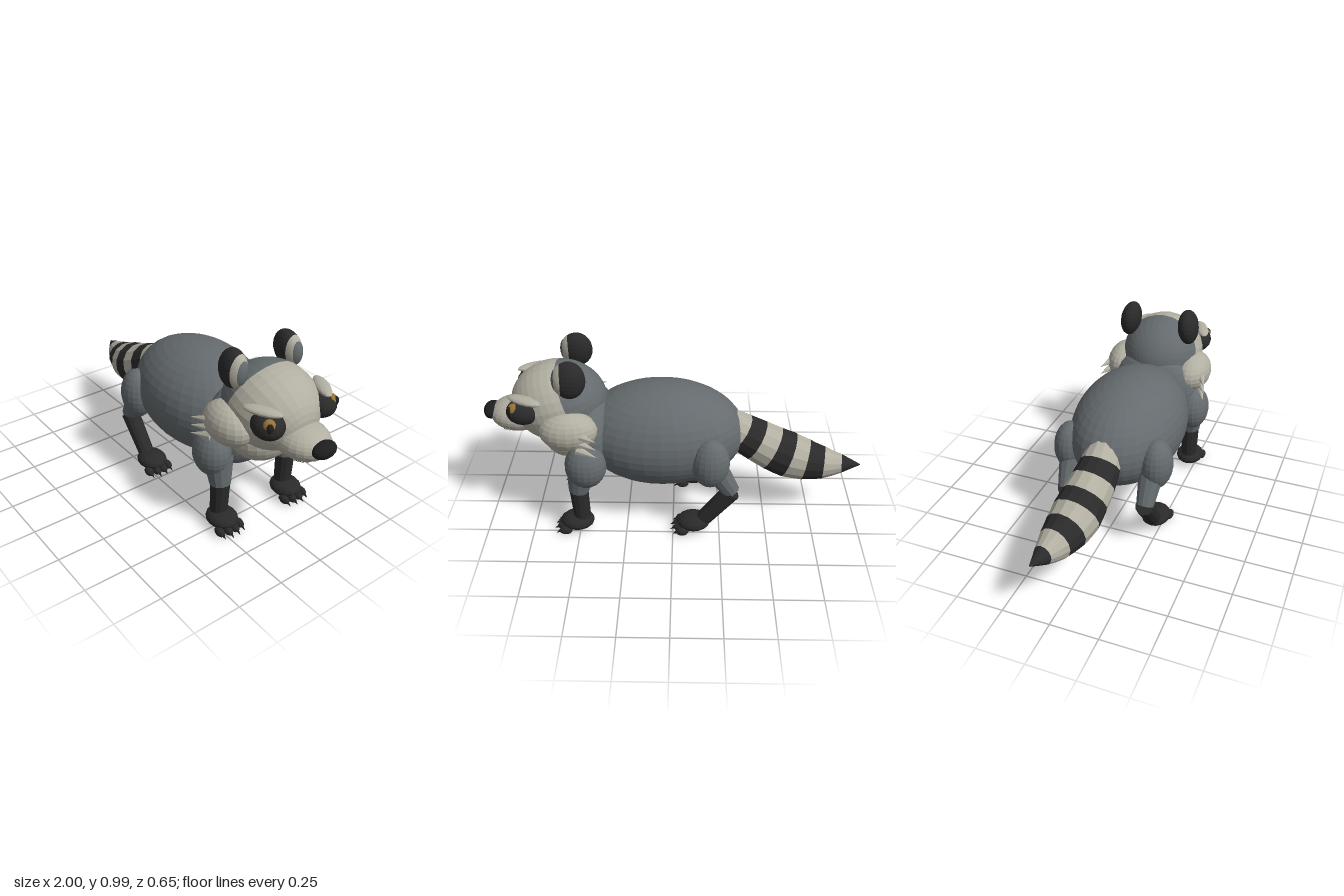
import * as THREE from 'three';

const mat = (name, color) => {
  const m = new THREE.MeshStandardMaterial({ color, flatShading: true });
  m.name = name;
  return m;
};
const V = (x, y, z) => new THREE.Vector3(x, y, z);

export function createModel() {
  const grey = mat('grey fur', 0x656b6e);
  const cream = mat('cream fur', 0xb2afa2);
  const dark = mat('dark fur', 0x2a2a2a);
  const black = mat('nose black', 0x1e1e1e);
  const amber = mat('amber eye', 0x94733a);
  const root = new THREE.Group();
  root.name = 'raccoon';

  const add = (parent, name, geometry, material) => {
    const mesh = new THREE.Mesh(geometry, material);
    mesh.name = name;
    parent.add(mesh);
    return mesh;
  };

  // Ellipsoid from centre and radii
  const blob = (parent, name, material, c, r, seg = 20) => {
    const g = new THREE.SphereGeometry(1, seg, Math.round(seg * 0.65)).scale(...r);
    const mesh = add(parent, name, g, material);
    mesh.position.set(...c);
    return mesh;
  };

  // Tapered cylinder (or cone) between two points
  const limb = (parent, name, material, a, b, ra, rb, seg = 12) => {
    const from = V(...a), to = V(...b), axis = to.clone().sub(from);
    const mesh = add(parent, name, new THREE.CylinderGeometry(rb, ra, axis.length(), seg), material);
    mesh.position.copy(from).add(to).multiplyScalar(0.5);
    mesh.quaternion.setFromUnitVectors(V(0, 1, 0), axis.normalize());
    return mesh;
  };

  // Thin painted oval lying on an ellipsoid, centred on direction dir
  const patch = (parent, name, material, c, r, dir, sx, sy, lift) => {
    const g = new THREE.RingGeometry(0, 1, 32, 8);
    const d = V(...dir).normalize();
    const right = V(0, 1, 0).cross(d).normalize();
    const up = d.clone().cross(right);
    const p = g.attributes.position;
    for (let i = 0; i < p.count; i++) {
      const v = d.clone().addScaledVector(right, p.getX(i) * sx).addScaledVector(up, p.getY(i) * sy);
      v.normalize().multiplyScalar(lift).multiply(V(...r));
      p.setXYZ(i, v.x, v.y, v.z);
    }
    g.computeVertexNormals();
    add(parent, name, g, material).position.set(...c);
  };

  // Trunk
  blob(root, 'body', grey, [0.06, 0.5, 0], [0.44, 0.282, 0.297], 32);
  blob(root, 'chest', grey, [0.425, 0.515, 0], [0.13, 0.24, 0.25], 28);
  blob(root, 'bib', cream, [0.555, 0.53, 0], [0.15, 0.16, 0.185], 24);

  // Head: cream face and grey crown share one ellipsoid, split by a tilted plane
  const split = 1.876;
  const headPart = (name, material, start, length) => {
    const g = new THREE.SphereGeometry(1, 28, 12, 0, Math.PI * 2, start, length);
    g.rotateZ(-1.9).scale(0.25, 0.213, 0.225);
    add(root, name, g, material).position.set(0.595, 0.687, 0);
  };
  headPart('face', cream, 0, split);
  headPart('crown', grey, split, Math.PI - split);

  // Muzzle
  const muzzleC = [0.815, 0.608, 0], muzzleR = [0.15, 0.088, 0.125];
  blob(root, 'muzzle', cream, muzzleC, muzzleR, 24);
  patch(root, 'mouth', dark, muzzleC, muzzleR, [0.5, -0.8, 0], 1.25, 0.36, 1.025);
  blob(root, 'nose', black, [0.955, 0.622, 0], [0.045, 0.042, 0.067], 18);

  for (const s of [1, -1]) {
    const side = s > 0 ? 'right' : 'left';
    const group = new THREE.Group();
    group.name = side === 'right' ? 'nearSide' : 'farSide';
    root.add(group);

    // Eye mask, eye, pupil and brow
    blob(group, 'eyeMask', dark, [0.755, 0.71, s * 0.16], [0.087, 0.067, 0.075]);
    blob(group, 'eye', amber, [0.793, 0.735, s * 0.186], [0.035, 0.033, 0.034], 16);
    blob(group, 'pupil', black, [0.813, 0.735, s * 0.2], [0.018, 0.024, 0.018], 12);
    const brow = blob(group, 'brow', cream, [0.742, 0.785, s * 0.182], [0.098, 0.02, 0.036], 16);
    brow.rotation.y = s * 0.46;

    // Cheek with swept-back fur tufts
    blob(group, 'cheek', cream, [0.53, 0.622, s * 0.2], [0.15, 0.107, 0.102]);
    for (const y of [0.625, 0.58, 0.535]) {
      limb(group, 'cheekTuft', cream, [0.48, y + 0.01, s * 0.262], [0.38, y - 0.005, s * 0.308], 0.026, 0.001, 8);
    }

    // Ear with cream front and grey hollow
    const ear = new THREE.Group();
    ear.name = 'ear';
    ear.position.set(0.512, 0.895, s * 0.168);
    ear.rotation.x = -s * 0.12;
    group.add(ear);
    const earR = [0.083, 0.097, 0.055];
    blob(ear, 'earBack', dark, [0, 0, 0], earR);
    patch(ear, 'earFront', cream, [0, 0, 0], earR, [1, 0, 0], 2, 1.7, 1.02);
    patch(ear, 'earHollow', grey, [0, 0, 0], earR, [1, 0, 0], 0.7, 0.75, 1.05);

    // Paw with four toes and claws
    const paw = (x) => {
      blob(group, 'paw', dark, [x, 0.06, s * 0.215], [0.09, 0.045, 0.078], 16);
      for (let i = 0; i < 4; i++) {
        const z = s * 0.215 + (i - 1.5) * 0.04;
        const tx = x + (i === 0 || i === 3 ? 0.06 : 0.073);
        blob(group, 'toe', dark, [tx, 0.03, z], [0.036, 0.024, 0.021], 10);
        limb(group, 'claw', black, [tx + 0.025, 0.028, z], [tx + 0.05, 0.014, z], 0.009, 0.001, 6);
      }
    };

    // Front leg
    blob(group, 'shoulder', grey, [0.45, 0.43, s * 0.235], [0.108, 0.127, 0.09]);
    limb(group, 'upperForeleg', grey, [0.478, 0.4, s * 0.215], [0.498, 0.26, s * 0.215], 0.076, 0.054);
    limb(group, 'lowerForeleg', dark, [0.498, 0.27, s * 0.215], [0.487, 0.06, s * 0.215], 0.051, 0.045);
    paw(0.515);

    // Hind leg
    blob(group, 'thigh', grey, [-0.193, 0.456, s * 0.238], [0.1, 0.14, 0.087]);
    limb(group, 'upperHindleg', grey, [-0.225, 0.4, s * 0.222], [-0.308, 0.265, s * 0.22], 0.066, 0.046);
    limb(group, 'lowerHindleg', dark, [-0.31, 0.262, s * 0.22], [-0.15, 0.06, s * 0.217], 0.049, 0.042);
    paw(-0.11);
  }

  // Tail: swept tube with varying radius and alternating rings
  const curve = new THREE.CatmullRomCurve3([
    V(-0.28, 0.55, 0), V(-0.37, 0.49, 0), V(-0.46, 0.44, -0.005), V(-0.55, 0.395, -0.015),
    V(-0.635, 0.362, -0.022), V(-0.73, 0.34, -0.035), V(-0.82, 0.333, -0.048),
    V(-0.91, 0.338, -0.062), V(-1, 0.345, -0.08),
  ]);
  const radii = [0.09, 0.105, 0.115, 0.122, 0.126, 0.112, 0.088, 0.05, 0.002];
  const steps = 16, sides = 14;
  const tail = new THREE.TubeGeometry(curve, steps, 1, sides, false);
  const p = tail.attributes.position;
  for (let i = 0; i <= steps; i++) {
    const c = curve.getPointAt(i / steps);
    const k = Math.floor(i / 2);
    const r = i % 2 ? (radii[k] + radii[k + 1]) / 2 : radii[k];
    for (let j = 0; j <= sides; j++) {
      const n = i * (sides + 1) + j;
      const v = V(p.getX(n), p.getY(n), p.getZ(n)).sub(c).multiplyScalar(r).add(c);
      p.setXYZ(n, v.x, v.y, v.z);
    }
  }
  tail.computeVertexNormals();
  for (let b = 0; b < 8; b++) tail.addGroup(b * 2 * sides * 6, 2 * sides * 6, b % 2);
  add(root, 'tail', tail, [cream, dark]);

  return root;
}
